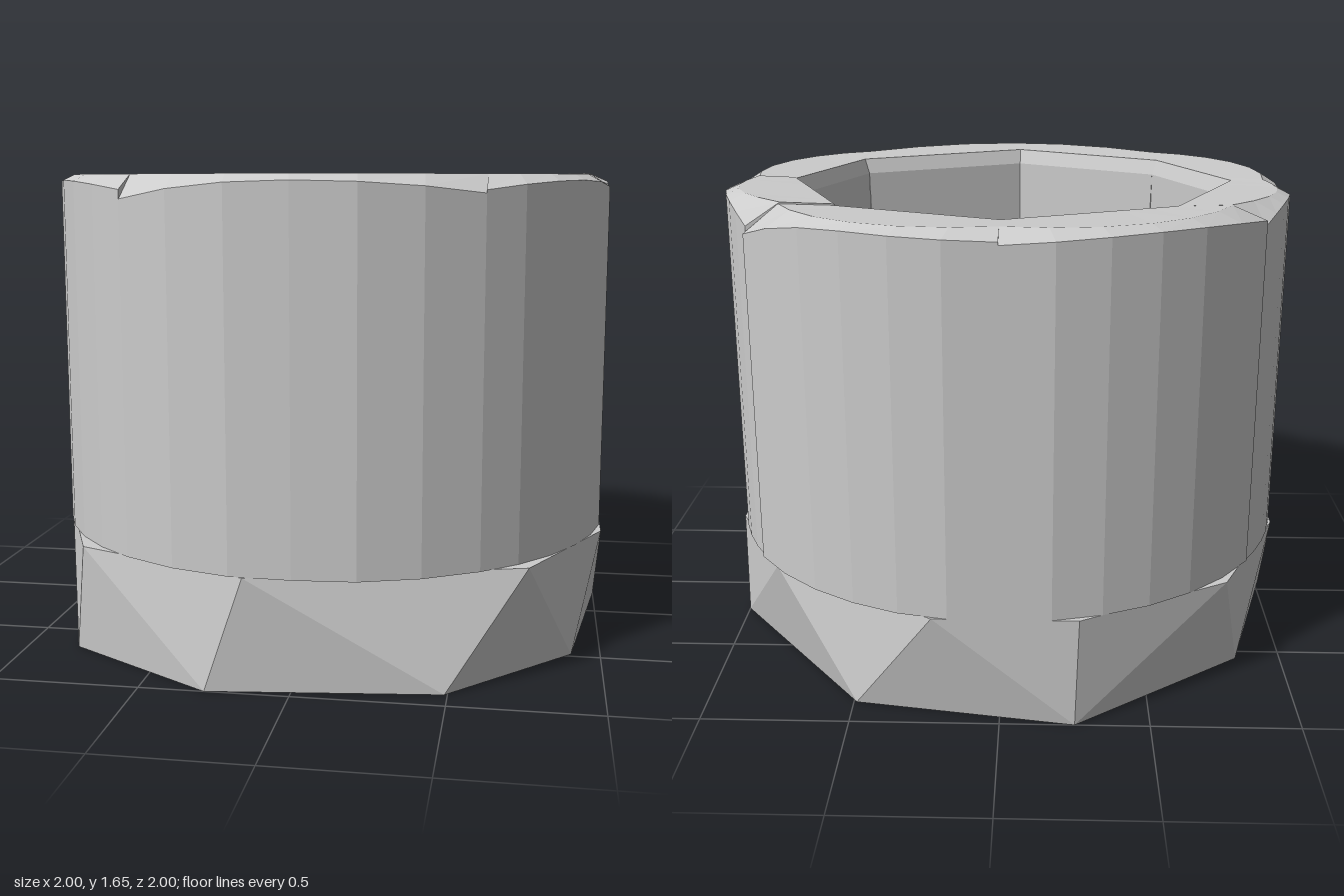
import * as THREE from 'three';
import { ConvexGeometry } from 'three/addons/geometries/ConvexGeometry.js';

const material = new THREE.MeshStandardMaterial({ color: 0xcccccc, flatShading: true });
const clamp = (v) => THREE.MathUtils.clamp(v, -1, 1);
const FLOOR = 0.385;

// One curved wall stone: straight inside, faceted round outside, chipped top edges.
// inner: [x, z] rim corners; a0, a1: outer angles in degrees; chip: outer edge drop at both ends.
function stoneGeometry({ inner, a0, a1, r, top, chip }) {
  const steps = 6;
  const sections = [];
  for (let s = 0; s <= steps; s++) {
    const t = s / steps;
    const f = t * (inner.length - 1);
    const k = Math.min(Math.floor(f), inner.length - 2);
    const [ax, az] = inner[k], [bx, bz] = inner[k + 1];
    const ix = ax + (bx - ax) * (f - k), iz = az + (bz - az) * (f - k);
    const a = THREE.MathUtils.degToRad(a0 + (a1 - a0) * t);
    const ox = clamp(Math.cos(a) * r), oz = clamp(Math.sin(a) * r);
    const end = Math.abs(2 * t - 1) ** 2;
    const drop = 0.02 + end * (t < 0.5 ? chip[0] : chip[1]);
    const m = 0.85 - 0.25 * end; // where the flat top turns into the outer bevel
    sections.push([
      [ix * 0.92, FLOOR, iz * 0.92],
      [ix * 0.96, FLOOR + 0.075, iz * 0.96],
      [ix * 0.97, top - 0.06, iz * 0.97],
      [ix, top - 0.005, iz],
      [ix + (ox - ix) * m, top, iz + (oz - iz) * m],
      [ox, top - drop, oz],
      [ox, FLOOR, oz],
    ]);
  }
  const pos = [];
  const tri = (a, b, c) => pos.push(...a, ...b, ...c);
  const n = sections[0].length;
  for (let s = 0; s < steps; s++) {
    const p = sections[s], q = sections[s + 1];
    for (let j = 0; j < n; j++) {
      const i = (j + 1) % n;
      tri(p[j], q[j], q[i]);
      tri(p[j], q[i], p[i]);
    }
  }
  const first = sections[0], last = sections[steps];
  for (let j = 1; j < n - 1; j++) {
    tri(first[0], first[j], first[j + 1]);
    tri(last[0], last[j + 1], last[j]);
  }
  const g = new THREE.BufferGeometry();
  g.setAttribute('position', new THREE.Float32BufferAttribute(pos, 3));
  g.computeVertexNormals();
  return g;
}

export function createModel() {
  const group = new THREE.Group();
  const add = (name, geometry) => {
    const mesh = new THREE.Mesh(geometry, material);
    mesh.name = name;
    group.add(mesh);
  };

  // Rough-cut base block: a few foot corners under a ring of top corners
  const foot = [
    [-0.28, 1], [0.49, 0.91], [0.9, 0.48], [1, -0.22], [0.49, -0.88],
    [-0.25, -1], [-0.84, -0.55], [-0.82, 0.67],
  ];
  const ledge = [
    [-0.15, 1], [0.75, 0.75], [1, 0.25], [1, -0.2], [0.79, -0.63],
    [0.22, -1], [-0.26, -1], [-0.77, -0.71], [-1, -0.2], [-1, 0.2], [-0.77, 0.73],
  ];
  const basePoints = [
    ...foot.map(([x, z]) => new THREE.Vector3(x, 0, z)),
    ...ledge.map(([x, z]) => new THREE.Vector3(x, FLOOR, z)),
    new THREE.Vector3(-1, 0.05, -0.02),
  ];
  add('base', new ConvexGeometry(basePoints));

  // Ring of wall stones
  const c = [
    [0.78, 0], [0.59, 0.5], [-0.03, 0.8], [-0.58, 0.5],
    [-0.81, 0], [-0.57, -0.53], [0, -0.78], [0.55, -0.55],
  ];
  const stones = [
    { inner: [c[0], c[1]], a0: 0, a1: 54, r: 1.01, top: 1.65, chip: [0.05, 0.03] },
    { inner: [c[1], c[2], c[3]], a0: 54, a1: 125, r: 1.01, top: 1.65, chip: [0.04, 0.06] },
    { inner: [c[3], c[4]], a0: 125, a1: 180, r: 1.01, top: 1.65, chip: [0.03, 0.04] },
    { inner: [c[4], c[5]], a0: 180, a1: 212, r: 1.01, top: 1.65, chip: [0.03, 0.05] },
    { inner: [c[5], c[6]], a0: 212, a1: 270, r: 1.015, top: 1.65, chip: [0.03, 0.02] },
    { inner: [c[6], c[7]], a0: 270, a1: 327, r: 1.02, top: 1.65, chip: [0.01, 0.08] },
    { inner: [c[7], c[0]], a0: 327, a1: 360, r: 1.01, top: 1.655, chip: [0.06, 0.02] },
  ];
  stones.forEach((s, i) => add(`wallStone${i + 1}`, stoneGeometry(s)));

  return group;
}
